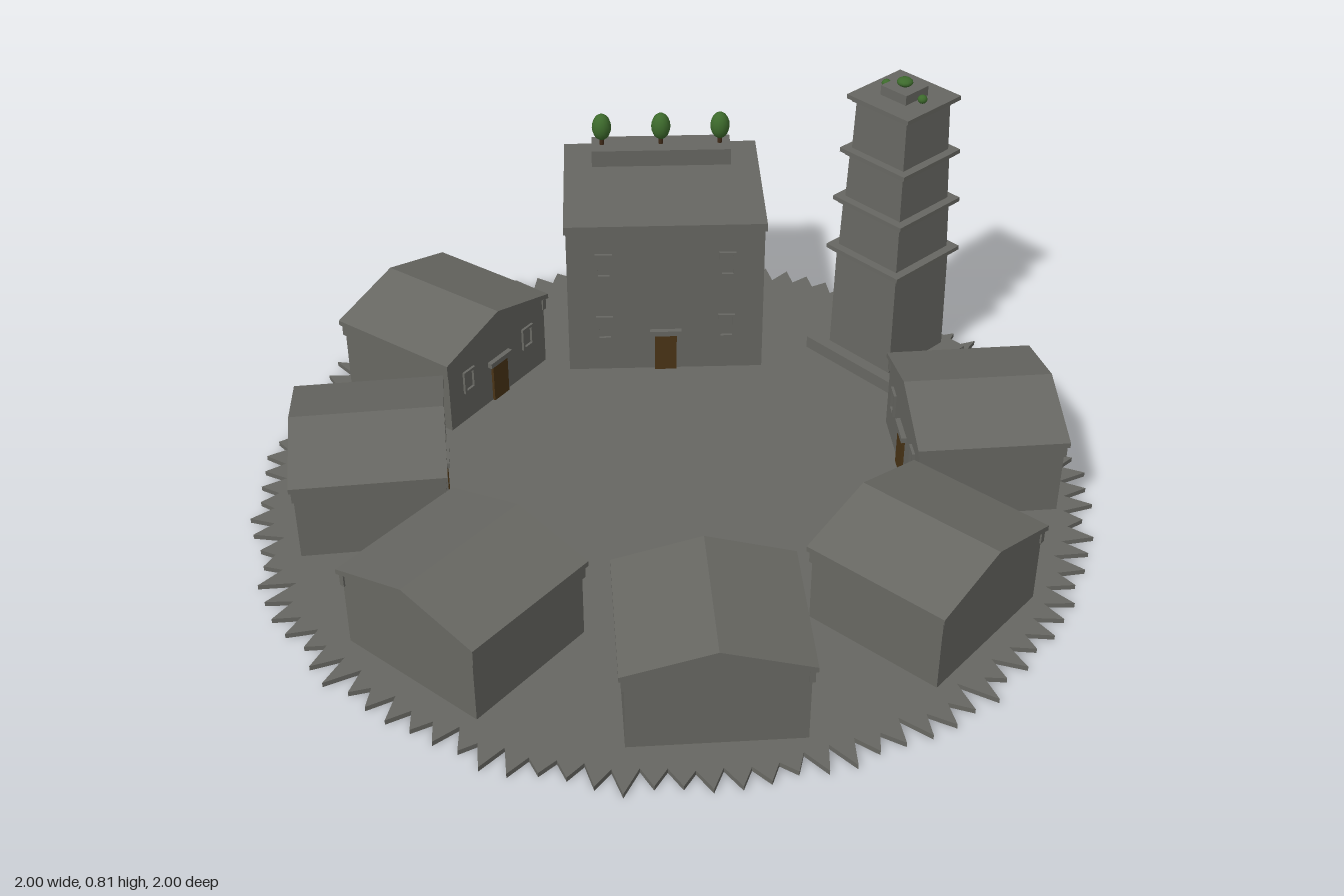
import * as THREE from 'three';

const mat = (name, color) => {
  const m = new THREE.MeshStandardMaterial({ color });
  m.name = name;
  return m;
};

export function createModel() {
  const stone = mat('stone', 0x676762);
  const wood = mat('door wood', 0x4a3416);
  const leaf = mat('foliage', 0x3d6a2c);
  const bark = mat('bark', 0x3f2a18);
  const model = new THREE.Group();
  model.name = 'village';

  const group = (name, parent, x = 0, y = 0, z = 0) => {
    const g = new THREE.Group();
    g.name = name;
    g.position.set(x, y, z);
    parent.add(g);
    return g;
  };
  const add = (parent, name, geo, m, x = 0, y = 0, z = 0) => {
    const mesh = new THREE.Mesh(geo, m);
    mesh.name = name;
    mesh.position.set(x, y, z);
    parent.add(mesh);
    return mesh;
  };
  // box standing on height y
  const box = (parent, name, w, h, d, x, y, z, m = stone) =>
    add(parent, name, new THREE.BoxGeometry(w, h, d), m, x, y + h / 2, z);
  // outline extruded along z, centred on z = 0
  const prism = (points, depth) => {
    const shape = new THREE.Shape(points.map(p => new THREE.Vector2(...p)));
    return new THREE.ExtrudeGeometry(shape, { depth, bevelEnabled: false }).translate(0, 0, -depth / 2);
  };

  // four thin bars around an opening
  const addWindow = (parent, x, y, z, w, h) => {
    const g = group('window', parent, x, y, z);
    for (const s of [-1, 1]) {
      box(g, 'windowJamb', 0.007, h, 0.012, s * w / 2, -h / 2, 0);
      box(g, 'windowBar', w + 0.007, 0.007, 0.012, 0, s * h / 2 - 0.0035, 0);
    }
  };
  const addDoor = (parent, z) => {
    const g = group('door', parent, 0, 0.012, z);
    box(g, 'doorPanel', 0.056, 0.105, 0.009, 0, 0, 0.002, wood);
    box(g, 'doorLintel', 0.08, 0.014, 0.018, 0, 0.105, 0.003);
  };
  const addTree = (parent, x, y, z) => {
    const g = group('tree', parent, x, y, z);
    add(g, 'trunk', new THREE.CylinderGeometry(0.006, 0.006, 0.03, 8), bark, 0, 0.01, 0);
    add(g, 'treeBase', new THREE.ConeGeometry(0.018, 0.02, 10).rotateX(Math.PI), bark, 0, 0.018, 0);
    add(g, 'crown', new THREE.SphereGeometry(0.025, 14, 10).scale(1, 1.45, 1), leaf, 0, 0.05, 0);
  };

  // ground: thin disc with a ragged sawtooth edge
  let seed = 7;
  const random = () => (seed = (seed * 16807) % 2147483647) / 2147483647;
  const rim = [];
  const teeth = 104;
  for (let i = 0; i < teeth; i++) {
    const a = (i / teeth) * Math.PI * 2, step = Math.PI * 2 / teeth;
    const valley = 0.91 + random() * 0.03, tip = i % 26 === 0 ? 1 : 0.965 + random() * 0.032;
    rim.push([Math.cos(a - step * 0.55) * valley, Math.sin(a - step * 0.55) * valley]);
    rim.push([Math.cos(a) * tip, Math.sin(a) * tip]);
  }
  add(model, 'ground', prism(rim, 0.012).rotateX(-Math.PI / 2), stone, 0, 0.006, 0);

  // ring of gabled houses, doors toward the middle: x, z, outward angle
  const houses = [
    [0.447, -0.567, -52], [0.703, -0.098, -6], [0.557, 0.408, 39],
    [0.096, 0.689, 82], [-0.422, 0.556, 126], [-0.713, 0.112, 168],
  ];
  for (const [x, z, deg] of houses) {
    const a = deg * Math.PI / 180;
    const g = group('house', model, x, 0, z);
    g.rotation.y = Math.atan2(-Math.cos(a), -Math.sin(a));
    add(g, 'houseWalls', prism([[-0.187, 0], [0.187, 0], [0.187, 0.2], [0, 0.252], [-0.187, 0.2]], 0.335), stone);
    add(g, 'houseRoof', prism([[-0.198, 0.2], [0, 0.252], [0.198, 0.2], [0.198, 0.213], [0, 0.267], [-0.198, 0.213]], 0.352), stone);
    for (const s of [-1, 1]) {
      box(g, 'eaveBeam', 0.012, 0.03, 0.343, s * 0.187, 0.17, 0);
      addWindow(g, s * 0.115, 0.125, 0.168, 0.034, 0.055);
    }
    addDoor(g, 0.168);
  }

  // large flat-roofed building with a roof planter
  const hall = group('hall', model, -0.508, 0, -0.448);
  hall.rotation.y = Math.atan2(0.755, 0.655);
  box(hall, 'hallWalls', 0.495, 0.42, 0.42, 0, 0, 0);
  box(hall, 'hallRoof', 0.505, 0.022, 0.43, 0, 0.418, 0);
  box(hall, 'roofPlanter', 0.36, 0.045, 0.08, 0, 0.44, -0.128);
  for (const s of [-1, 0, 1]) addTree(hall, s * 0.153, 0.485, -0.128);
  for (const s of [-1, 1])
    for (const y of [0.14, 0.325]) addWindow(hall, s * 0.155, y, 0.211, 0.036, 0.062);
  addDoor(hall, 0.211);

  // tiered tower
  const tower = group('tower', model, -0.01, 0, -0.777);
  box(tower, 'towerBase', 0.31, 0.045, 0.266, 0, 0, 0);
  const levels = [0.045, 0.335, 0.475, 0.61, 0.755];
  for (let i = 0; i < 4; i++) {
    const w = 0.205 - i * 0.013, h = levels[i + 1] - levels[i], r = Math.SQRT1_2;
    const tier = new THREE.CylinderGeometry((w - 0.008) * r, w * r, h, 4, 1).rotateY(Math.PI / 4).toNonIndexed();
    tier.computeVertexNormals();
    add(tower, 'towerTier', tier, stone, 0, levels[i] + h / 2, 0);
    const e = 0.235 - i * 0.014;
    box(tower, 'towerEave', e, 0.011, e, 0, levels[i + 1] - 0.006, 0);
    box(tower, 'eaveMoulding', e - 0.018, 0.008, e - 0.018, 0, levels[i + 1] - 0.014, 0);
  }
  box(tower, 'topPlanter', 0.08, 0.025, 0.08, 0, 0.76, 0);
  for (const [x, y, r] of [[0, 0.795, 0.02], [-0.057, 0.77, 0.012], [0.057, 0.77, 0.012]]) {
    add(tower, 'bushStem', new THREE.CylinderGeometry(0.004, 0.004, 0.02, 8), bark, x, y - 0.01, 0);
    add(tower, 'bush', new THREE.SphereGeometry(r, 12, 8).scale(1, r > 0.015 ? 0.55 : 0.9, 1), leaf, x, y, 0);
  }
  return model;
}
